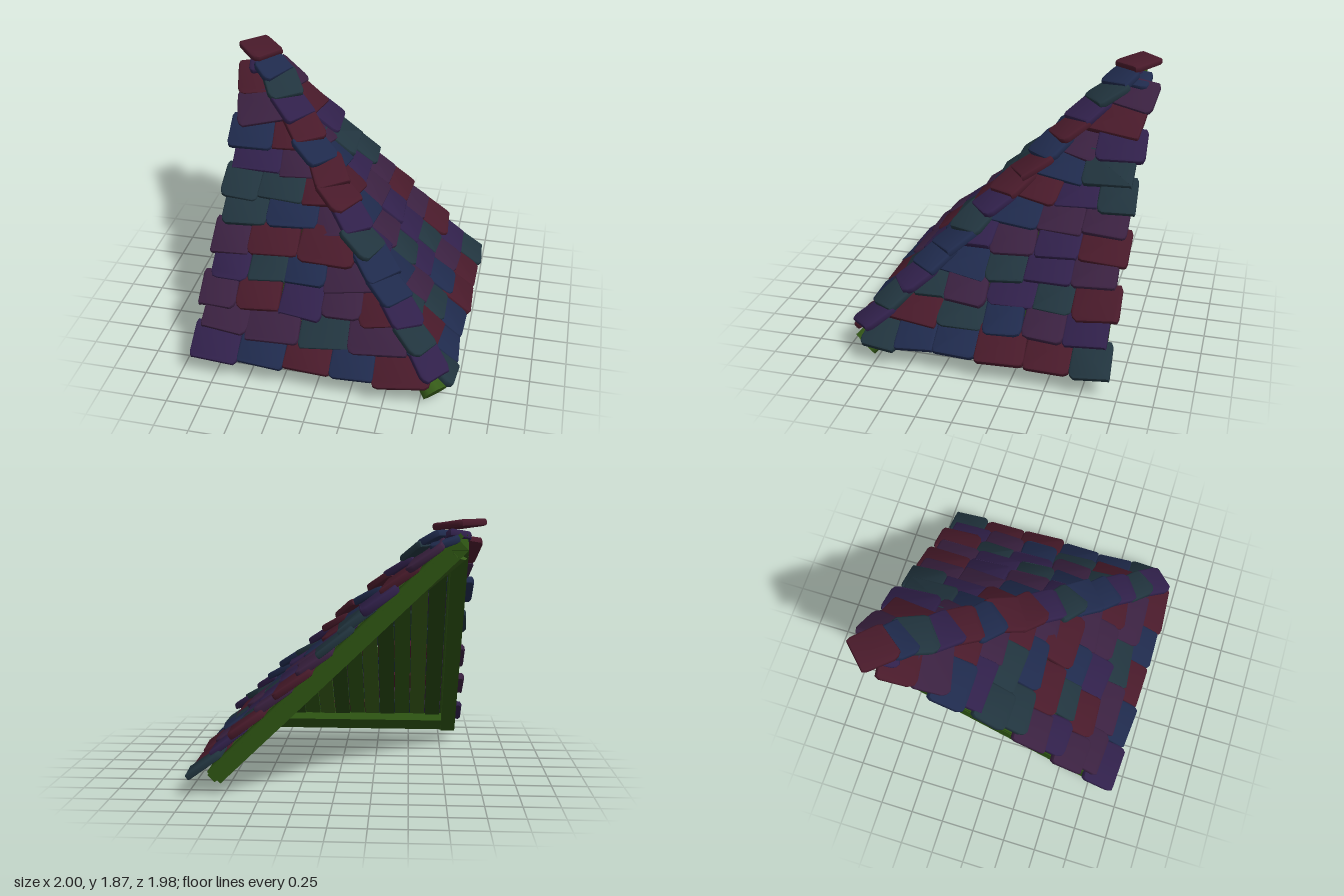
import * as THREE from 'three';
import { toCreasedNormals } from 'three/addons/utils/BufferGeometryUtils.js';

const RISE = 0.96;                       // drop of each slope per unit outwards
const DECK_Y = 1.006;                    // deck height above the centre line
const PITCH = Math.atan(RISE), COS = Math.cos(PITCH);
const ROWS = 12, STEP = 0.146;

// Small seeded generator for irregular shingles
let seed = 7;
const rand = (a, b) => {
  seed = (seed * 16807) % 2147483647;
  return a + (b - a) * (seed / 2147483647);
};

const shingleMats = [0x3a2140, 0x1f2a4c, 0x481a2a, 0x21343e, 0x30204a]
  .map((color) => new THREE.MeshStandardMaterial({ color }));
const woodMats = [0x2c5212, 0x24440f, 0x355a18]
  .map((color) => new THREE.MeshStandardMaterial({ color }));
const pick = (list) => list[Math.floor(rand(0, list.length - 0.001))];

// Flat slab lying in XZ from an outline of [x, upSlope] points, thick along +y
function slab(points, thick, bevel) {
  const shape = new THREE.Shape(points.map(([x, y]) => new THREE.Vector2(x, y)));
  const geo = new THREE.ExtrudeGeometry(shape, {
    depth: thick - 2 * bevel, bevelEnabled: bevel > 0, bevelThickness: bevel,
    bevelSize: bevel, bevelOffset: -bevel, bevelSegments: 2,
  });
  geo.translate(0, 0, bevel);
  geo.rotateX(-Math.PI / 2);
  return geo;
}

// Worn shingle: lower edge at z = 0, running up the slope to z = -len.
// cut trims the upper corner on the side (+1 / -1) that meets the hip.
function shingle(w, len, thick, cut = 0, side = 1) {
  const h = w / 2, r = () => rand(0.012, 0.055);
  const a = r(), b = r(), lip = rand(-0.014, 0.014);
  const points = [
    [-h + a, lip], [h - b, -lip], [h - b * 0.3, b * 0.35], [h, b + 0.01],
    [h - 0.005, len - 0.03 - cut], [h - 0.02 - cut * 0.6, len],
    [-h + 0.02, len], [-h + 0.005, len - 0.03],
    [-h, a + 0.01], [-h + a * 0.3, a * 0.35],
  ].map(([x, y]) => [x * side, y]);
  const geo = slab(points, thick, 0.012);
  // Gentle bow across the width
  const p = geo.attributes.position;
  for (let i = 0; i < p.count; i++) {
    p.setY(i, p.getY(i) - 0.012 * (p.getX(i) / h) ** 2);
  }
  const mesh = new THREE.Mesh(toCreasedNormals(geo, 0.7), pick(shingleMats));
  mesh.rotation.order = 'YXZ';
  return mesh;
}

function addBox(parent, name, size, pos) {
  const mesh = new THREE.Mesh(new THREE.BoxGeometry(...size), woodMats[0]);
  mesh.name = name;
  mesh.position.set(...pos);
  parent.add(mesh);
}

// One roof slope in its own plane: x across, y outward, z downhill.
// m mirrors it so that the hip lies on the correct side.
function buildSlope(name, yaw, m, edge, reach) {
  const slope = new THREE.Group();
  slope.name = name;
  slope.position.y = DECK_Y;
  slope.rotation.set(PITCH, yaw, 0, 'YXZ');

  // Deck boards running downhill, cut off along the hip
  const boards = 14, x0 = -0.87, bw = 1.7 / boards;
  for (let i = 0; i < boards; i++) {
    const a = x0 + i * bw, b = a + bw - 0.006;
    const thick = rand(0.02, 0.035);
    const top = Math.max(a, -0.82);
    const geo = slab([
      [m * a, -0.86 / COS], [m * b, -0.86 / COS], [m * b, -b / COS], [m * a, -top / COS],
    ], thick, 0);
    geo.translate(0, -thick, 0);
    const board = new THREE.Mesh(geo, woodMats[i % 3]);
    board.name = 'deckBoard';
    slope.add(board);
  }

  // Edge rafter and eave beam beneath the deck
  addBox(slope, 'edgeRafter', [0.11, 0.1, 2.28], [m * -0.82, -0.07, 0.04]);
  addBox(slope, 'eaveBeam', [1.6, 0.07, 0.14], [m * -0.04, -0.055, 1.145]);

  // Overlapping rows of shingles
  const field = new THREE.Group();
  field.name = 'shingleRows';
  slope.add(field);
  for (let row = 0; row < ROWS; row++) {
    const z = reach - row * STEP;
    const peak = row === ROWS - 1;       // short, flatter tile under the cap
    const end = Math.max(z - 0.08, edge + 0.22);
    let x = edge + (row % 2 ? 0.05 : 0) + rand(-0.01, 0.01);
    while (x < end - 0.03) {
      let w = rand(0.27, 0.39);
      if (end - x - w < 0.16) w = Math.min(end - x, 0.42);
      const last = x + w > end - 0.05;
      const s = shingle(w + 0.008, peak ? 0.2 : rand(0.28, 0.31), rand(0.045, 0.058),
        last && !peak ? Math.min(0.16, w * 0.8) : 0, m);
      s.name = 'shingle';
      s.position.set(m * (x + w / 2), rand(0.04, 0.06), z / COS + rand(-0.025, 0.02));
      s.rotation.set(-rand(0.1, 0.16) - (peak ? 0.3 : 0),
        m * (last ? rand(0.08, 0.24) : rand(-0.04, 0.05)), rand(-0.04, 0.04));
      field.add(s);
      x += w;
    }
  }
  return slope;
}

export function createModel() {
  seed = 7;
  const roof = new THREE.Group();
  roof.name = 'hipRoofCorner';
  roof.add(buildSlope('frontSlope', 0, 1, -0.92, 0.91));
  roof.add(buildSlope('rightSlope', Math.PI / 2, -1, -0.95, 0.935));

  // Log along the hip
  const low = new THREE.Vector3(0.86, 0.1, 0.85), high = new THREE.Vector3(-0.82, 1.68, -0.82);
  const axis = low.clone().sub(high);
  const log = new THREE.Mesh(
    toCreasedNormals(new THREE.CylinderGeometry(0.1, 0.075, axis.length(), 9), 0.8), woodMats[2]);
  log.name = 'hipLog';
  log.position.copy(low).add(high).multiplyScalar(0.5);
  log.quaternion.setFromUnitVectors(new THREE.Vector3(0, 1, 0), axis.normalize());
  roof.add(log);

  // Shingles covering the hip, fanned to either side
  const hip = new THREE.Group();
  hip.name = 'hipShingles';
  const hipPitch = Math.atan(RISE / Math.SQRT2), count = 14;
  for (let i = 0; i < count; i++) {
    const t = 0.87 - i * 0.116;
    const s = shingle(rand(0.23, 0.29), i < count - 1 ? 0.28 : 0.18, 0.05);
    const fan = (i % 2 ? 1 : -1) * rand(0.03, 0.28);
    s.name = 'hipShingle';
    s.position.set(t + fan * 0.06, DECK_Y + 0.075 - RISE * t, t - fan * 0.06);
    s.rotation.set(hipPitch - 0.12, Math.PI / 4 + fan, rand(-0.05, 0.05));
    hip.add(s);
  }
  roof.add(hip);

  // Square cap over the peak
  const cap = shingle(0.27, 0.27, 0.045);
  cap.name = 'peakCap';
  cap.position.set(-0.72, 1.815, -0.71);
  cap.rotation.set(0.13, Math.PI / 4, 0);
  roof.add(cap);
  return roof;
}
